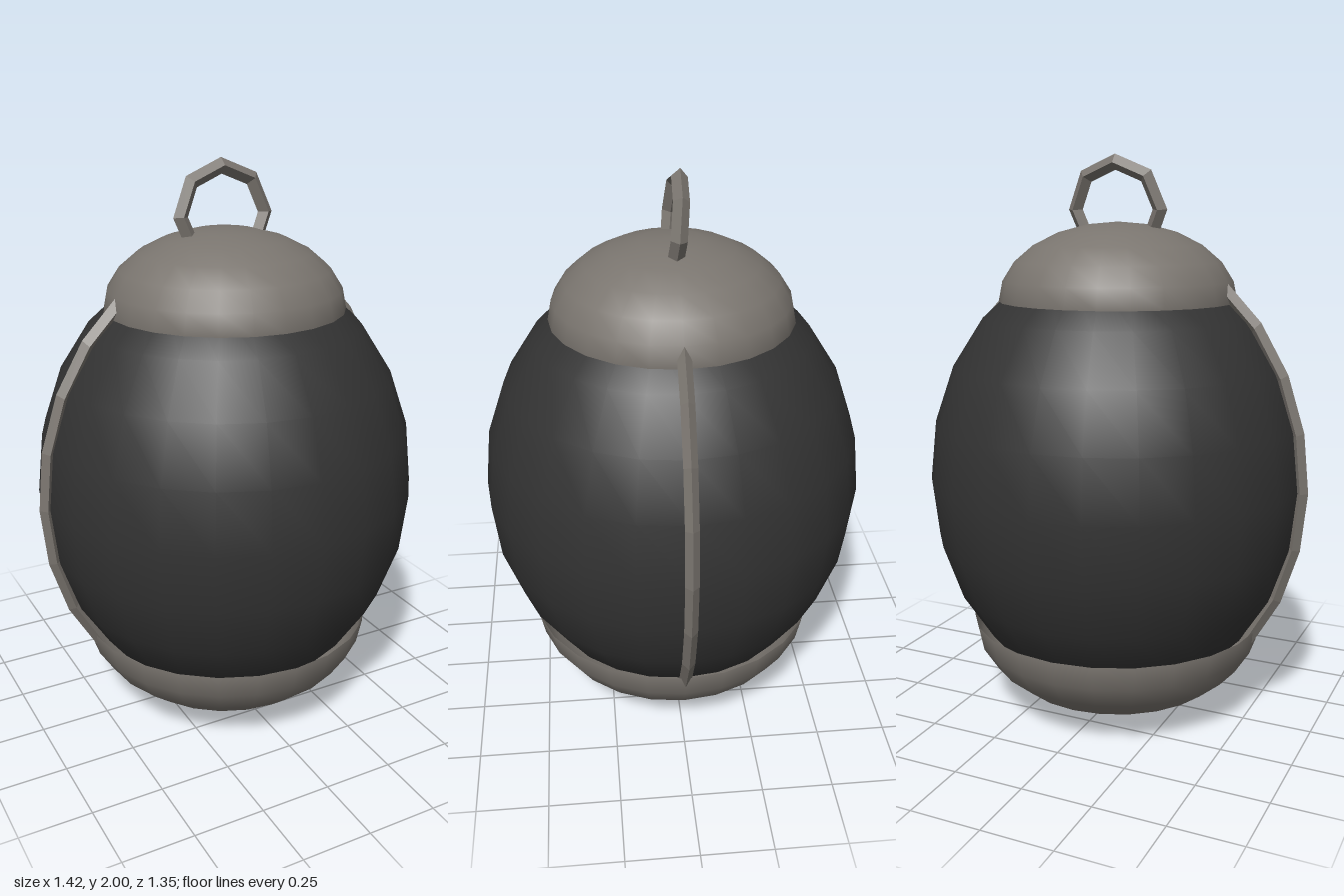
import * as THREE from 'three';

export function createModel() {
  const group = new THREE.Group();
  const dark = new THREE.MeshStandardMaterial({ color: 0x333333 });
  const metal = new THREE.MeshStandardMaterial({ color: 0x7a756f, side: THREE.DoubleSide });
  const metalFlat = new THREE.MeshStandardMaterial({ color: 0x7a756f, side: THREE.DoubleSide, flatShading: true });

  const add = (name, geometry, material, y) => {
    const mesh = new THREE.Mesh(geometry, material);
    mesh.name = name;
    mesh.position.y = y;
    group.add(mesh);
    return mesh;
  };

  // Open half ellipsoid, rim at y = 0
  const dome = (radius, height, thetaStart) =>
    new THREE.SphereGeometry(1, 24, 6, 0, Math.PI * 2, thetaStart, Math.PI / 2)
      .scale(radius, height, radius);

  // Faceted diamond-section bar bent along an arc, angles in degrees
  const arcBar = (radius, tube, segments, from, to) =>
    new THREE.TorusGeometry(radius, tube, 4, segments, THREE.MathUtils.degToRad(to - from))
      .rotateZ(THREE.MathUtils.degToRad(from));

  // Egg-shaped body
  add('body', new THREE.SphereGeometry(1, 24, 12).scale(0.675, 0.81, 0.675), dark, 0.87);

  // Overlapping shells at both ends
  add('topCap', dome(0.42, 0.273, 0), metal, 1.5);
  add('bottomCap', dome(0.535, 0.345, Math.PI / 2), metal, 0.345);

  // Ribs down both sides
  for (const side of [1, -1]) {
    const rib = arcBar(0.685, 0.023, 7, -42, 56).scale(1, 1.21, 1);
    if (side < 0) rib.rotateY(Math.PI);
    add(side > 0 ? 'leftRib' : 'rightRib', rib, metalFlat, 0.87);
  }

  // Hanging loop, leaning slightly back with its ends sunk into the cap
  const loop = add('hangingLoop', arcBar(0.16, 0.027, 6, -45, 225), metalFlat, 1.814);
  loop.position.z = -0.008;
  loop.rotation.x = -0.1;

  return group;
}
